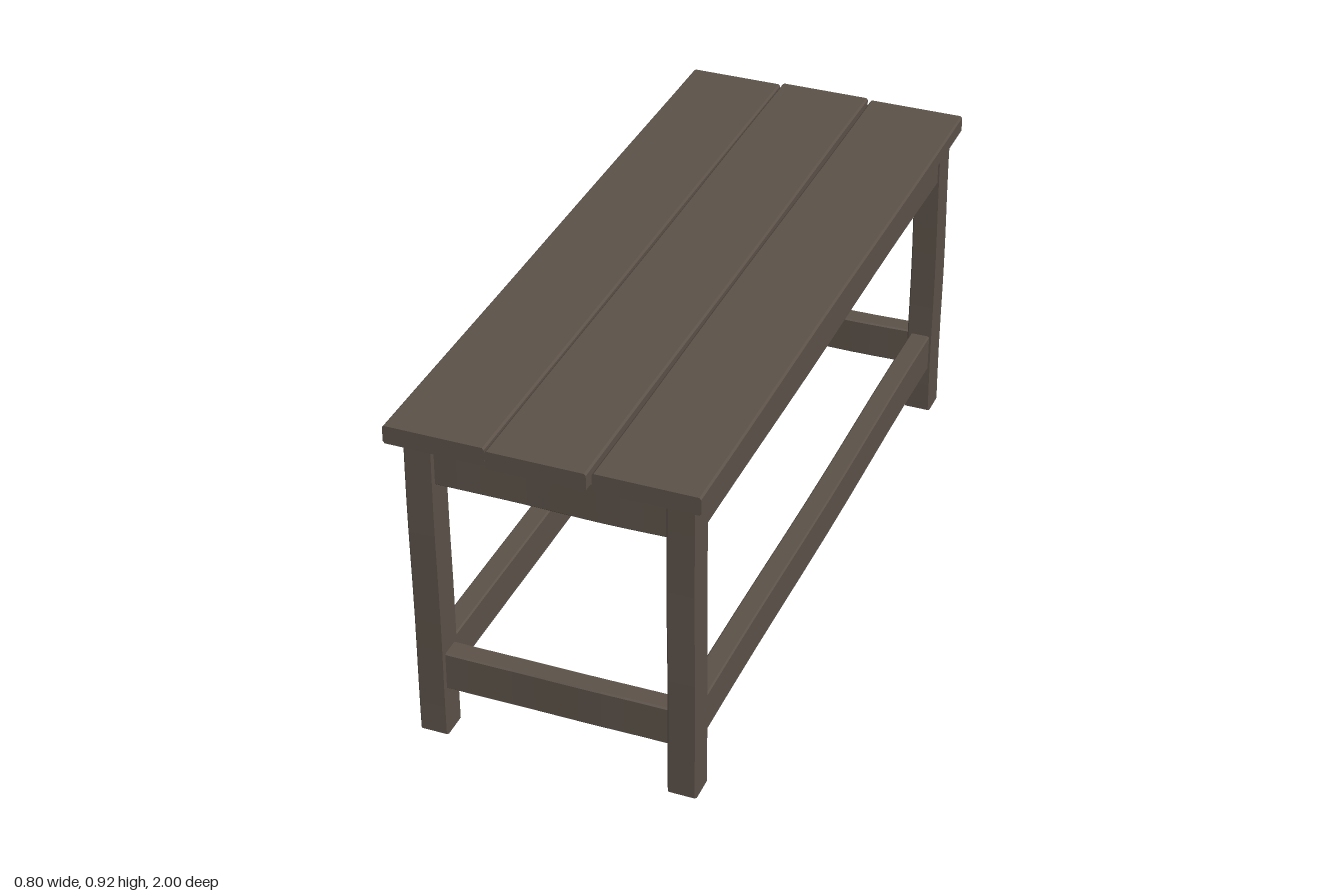
import * as THREE from 'three';

const wood = new THREE.MeshStandardMaterial({ color: 0x5b5148 });
wood.name = 'darkWood';

// Timber with chamfered long edges and a slight hand-cut waviness, running along z
function timber(w, h, length, chamfer, wave, phase) {
  const x = w / 2, y = h / 2, c = chamfer;
  const section = new THREE.Shape([
    [-x + c, -y], [x - c, -y], [x, -y + c], [x, y - c],
    [x - c, y], [-x + c, y], [-x, y - c], [-x, -y + c],
  ].map(([a, b]) => new THREE.Vector2(a, b)));
  const geo = new THREE.ExtrudeGeometry(section, { depth: length, steps: 10, bevelEnabled: false });
  geo.translate(0, 0, -length / 2);
  const p = geo.attributes.position;
  for (let i = 0; i < p.count; i++) {
    const t = p.getZ(i) / length;
    p.setX(i, p.getX(i) + wave * Math.sin(t * 9 + phase));
    p.setY(i, p.getY(i) + wave * Math.sin(t * 7 + phase * 2));
  }
  geo.computeVertexNormals();
  return geo;
}

export function createModel() {
  const group = new THREE.Group();
  const add = (name, geo, x, y, z) => {
    const mesh = new THREE.Mesh(geo, wood);
    mesh.name = name;
    mesh.position.set(x, y, z);
    group.add(mesh);
  };

  // Three top planks: [x from, x to, z from, z to]
  [[-0.4, -0.138, -0.99, 0.988], [-0.133, 0.122, -1, 1], [0.131, 0.4, -0.995, 0.99]]
    .forEach(([x0, x1, z0, z1], i) => {
      add('topPlank' + (i + 1), timber(x1 - x0, 0.049, z1 - z0, 0.005, 0.001, i * 2),
        (x0 + x1) / 2, 0.892, (z0 + z1) / 2);
    });

  // Four square legs
  const legX = [-0.326, 0.34], legZ = [-0.927, 0.924], legW = 0.076;
  legX.forEach((x, i) => legZ.forEach((z, j) => {
    const geo = timber(legW, legW, 0.867, 0.004, 0.001, i + j * 2).rotateX(-Math.PI / 2);
    add((i ? 'left' : 'right') + (j ? 'Front' : 'Back') + 'Leg', geo, x, 0.4335, z);
  }));

  // Upper aprons and lower stretchers between the legs
  const spanX = legX[1] - legX[0] - legW, midX = (legX[0] + legX[1]) / 2;
  const spanZ = legZ[1] - legZ[0] - legW, midZ = (legZ[0] + legZ[1]) / 2;
  [['Apron', 0.807], ['Stretcher', 0.194]].forEach(([kind, y], k) => {
    legX.forEach((x, i) =>
      add((i ? 'left' : 'right') + kind, timber(0.056, 0.11, spanZ + 0.004, 0.004, 0.0015, i + k), x, y, midZ));
    legZ.forEach((z, j) =>
      add((j ? 'front' : 'back') + kind,
        timber(0.056, 0.11, spanX + 0.004, 0.004, 0.0015, j + k + 1).rotateY(Math.PI / 2), midX, y, z));
  });

  return group;
}
